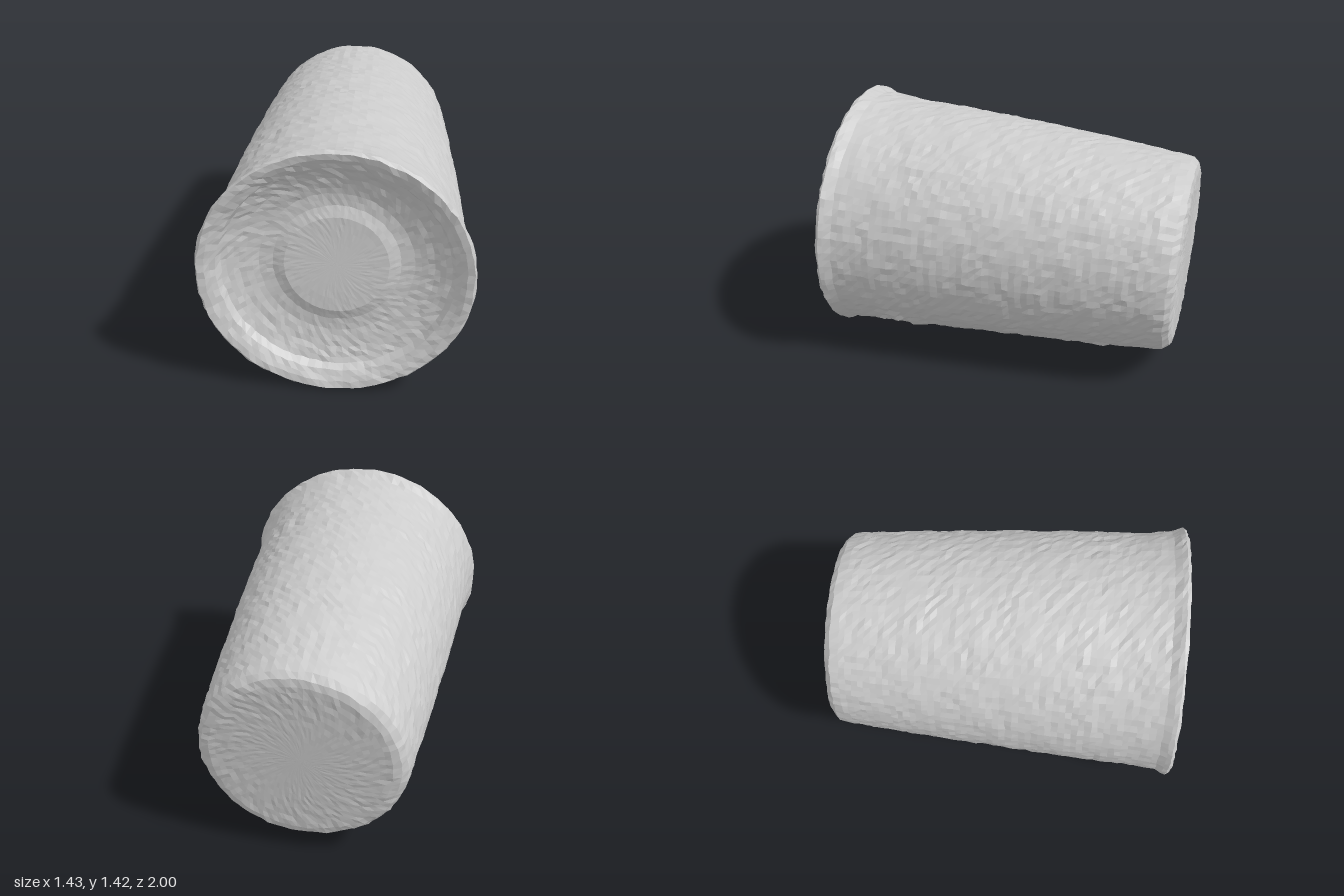
import * as THREE from 'three';

const SEGMENTS = 100;
const CENTRE_Y = 0.68;
const ROUGHNESS = 0.0045;
const material = new THREE.MeshStandardMaterial({ color: 0xcccccc, flatShading: true });

// Repeatable value in -1..1 from a position, so shared vertices move together
function hash(x, y, z, seed) {
  const q = (v) => Math.round(v * 1000);
  const s = Math.sin(q(x) * 12.9898 + q(y) * 78.233 + q(z) * 37.719 + seed * 91.7) * 43758.5453;
  return (s - Math.floor(s)) * 2 - 1;
}

// Split a profile into short, even steps
function resample(profile, step) {
  const out = [];
  profile.forEach(([r, y], i) => {
    if (i > 0) {
      const [r0, y0] = profile[i - 1];
      const n = Math.max(1, Math.round(Math.hypot(r - r0, y - y0) / step));
      for (let k = 1; k < n; k++) {
        out.push(new THREE.Vector2(r0 + (r - r0) * k / n, y0 + (y - y0) * k / n));
      }
    }
    out.push(new THREE.Vector2(r, y));
  });
  return out;
}

// Smooth falloff around an elliptical patch
function patch(u, v, u0, v0, ru, rv) {
  return Math.exp(-(((u - u0) / ru) ** 2) - ((v - v0) / rv) ** 2);
}

// Radial relief of the outer wall: ribbed worn patches and a middle seam
function wallRelief(x, y, z) {
  const h = y + CENTRE_Y;
  const low = patch(h, z, 0.22, 0.58, 0.13, 0.12) + patch(h, z, 0.19, -0.6, 0.1, 0.09);
  const high = patch(Math.abs(x), z, 0.4, 0.5, 0.16, 0.1) * (h > 0.7 ? 0.6 : 0);
  const ribs = Math.sin(h * 70 + Math.sin(z * 20)) * 0.008 + hash(x, y, z, 4) * 0.01;
  const seam = h < 0.6 ? -0.006 * Math.exp(-(((z + 0.1) / 0.02) ** 2)) : 0;
  const waves = 0.002 * Math.sin(z * 21 + x * 9) * Math.sin(h * 11);
  const fade = Math.max(0, 1 - (z / 0.89) ** 8);
  return { radial: (ribs * (low + high) + seam + waves) * fade, axial: 0 };
}

// The filling leans back at the top and bulges forward below the middle
function fillingRelief(x, y) {
  const r2 = (x * x + y * y) / 0.36;
  return { radial: 0, axial: -0.09 * y * Math.max(0, 1 - r2) };
}

// Revolved part along z with an uneven, hand-worn surface
function revolve(name, profile, relief = () => ({ radial: 0, axial: 0 })) {
  const geometry = new THREE.LatheGeometry(resample(profile, 0.035), SEGMENTS);
  geometry.rotateX(Math.PI / 2);
  const pos = geometry.attributes.position;
  for (let i = 0; i < pos.count; i++) {
    const x = pos.getX(i), y = pos.getY(i), z = pos.getZ(i);
    const r = Math.hypot(x, y);
    const { radial, axial } = relief(x, y, z);
    const grow = 1 + radial / Math.max(r, 0.01);
    // Calmer towards the axis, where the facets get narrow
    const a = ROUGHNESS * Math.min(1, r / 0.55) ** 1.5;
    const sag = 0.009 * Math.exp(-(((z - 0.6) / 0.25) ** 2));
    pos.setXYZ(i,
      x * grow * 1.012 + hash(x, y, z, 1) * a - 0.003,
      y * grow + hash(x, y, z, 2) * a - sag,
      z + axial + hash(x, y, z, 3) * a);
  }
  geometry.computeVertexNormals();
  const mesh = new THREE.Mesh(geometry, material);
  mesh.name = name;
  return mesh;
}

export function createModel() {
  const model = new THREE.Group();
  model.name = 'lyingCup';

  // The taper makes the cup rest slightly tilted on its side
  const cup = new THREE.Group();
  cup.name = 'cup';
  cup.rotation.x = -0.031;
  cup.position.y = CENTRE_Y;
  model.add(cup);

  // Flat closed end with a rounded edge
  cup.add(revolve('base',
    [[0, -0.986], [0.48, -0.983], [0.52, -0.972], [0.548, -0.94], [0.558, -0.89]]));

  // Tapered outer wall
  cup.add(revolve('wall',
    [[0.558, -0.89], [0.592, -0.5], [0.627, 0], [0.652, 0.4], [0.668, 0.75], [0.682, 0.89]],
    wallRelief));

  // Flared lip with a broad, uneven face
  cup.add(revolve('lip',
    [[0.682, 0.89], [0.7, 0.93], [0.708, 0.955], [0.695, 0.972], [0.66, 0.966], [0.605, 0.935]]));

  // Shallow dished filling with a low raised centre
  cup.add(revolve('filling',
    [[0.605, 0.935], [0.585, 0.89], [0.5, 0.85], [0.4, 0.825], [0.33, 0.825],
      [0.27, 0.845], [0.12, 0.845], [0, 0.845]],
    fillingRelief));

  return model;
}
